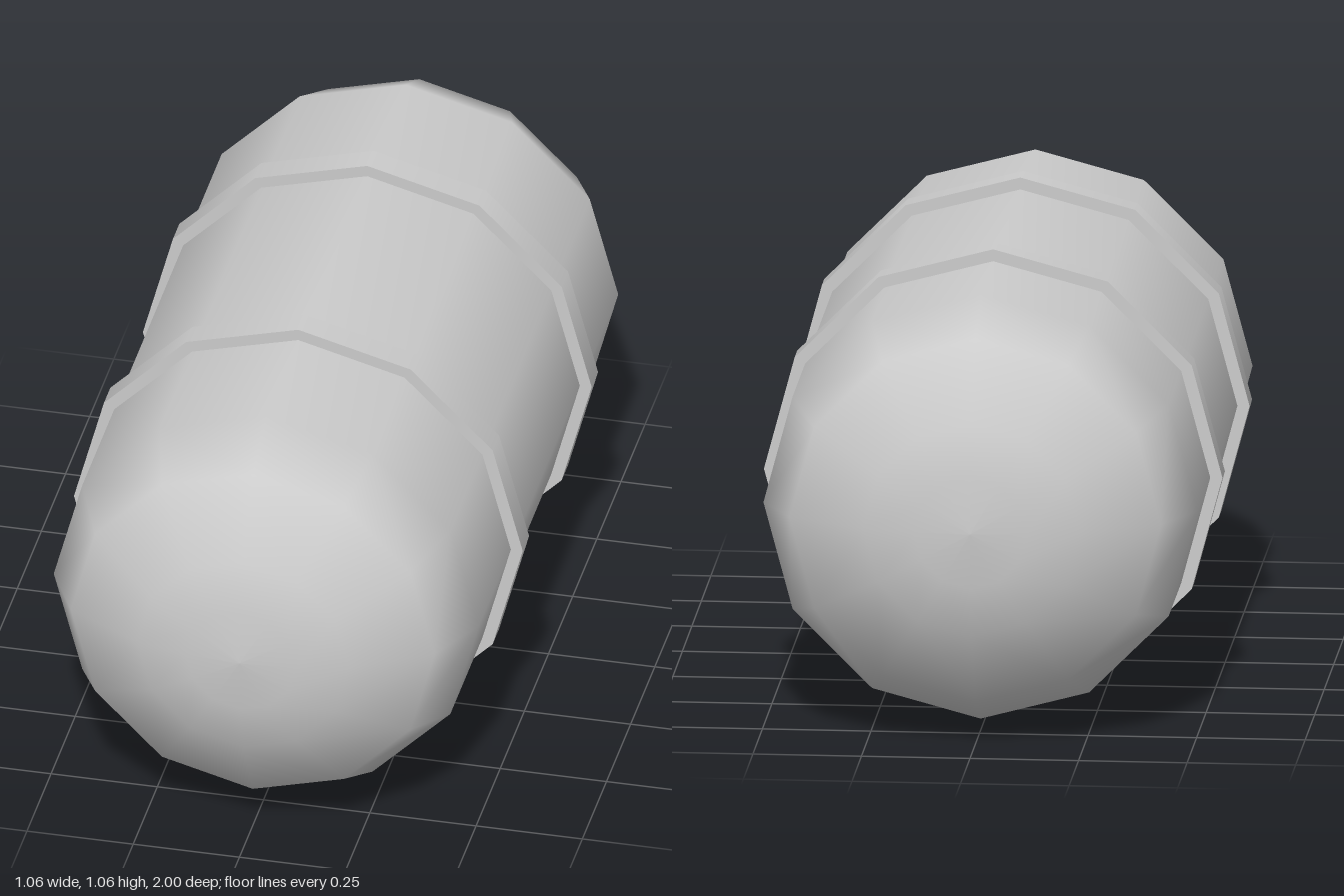
import * as THREE from 'three';

const SIDES = 12;
const CENTRE_Y = 0.53;

export function createModel() {
  const group = new THREE.Group();
  group.name = 'tank';
  const material = new THREE.MeshStandardMaterial({ color: 0xcccccc });

  const add = (name, geometry, z = 0) => {
    geometry.rotateX(Math.PI / 2); // lay the axis along z
    const mesh = new THREE.Mesh(geometry, material);
    mesh.name = name;
    mesh.position.set(0, CENTRE_Y, z);
    group.add(mesh);
  };

  // Shell: straight barrel with domed ends, [radius, distance along axis]
  const dome = [[0, 1], [0.13, 0.99], [0.25, 0.962], [0.428, 0.862], [0.5, 0.722]];
  const profile = [
    ...dome.map(([r, d]) => new THREE.Vector2(r, -d)),
    ...dome.slice().reverse().map(([r, d]) => new THREE.Vector2(r, d)),
  ];
  add('shell', new THREE.LatheGeometry(profile, SIDES));

  // Two raised bands around the barrel
  for (const [name, z] of [['frontBand', 0.357], ['backBand', -0.357]]) {
    add(name, new THREE.CylinderGeometry(0.528, 0.528, 0.066, SIDES), z);
  }

  // Rest the bands on the ground
  group.children.forEach((m) => { m.position.y = 0.528; });
  return group;
}
